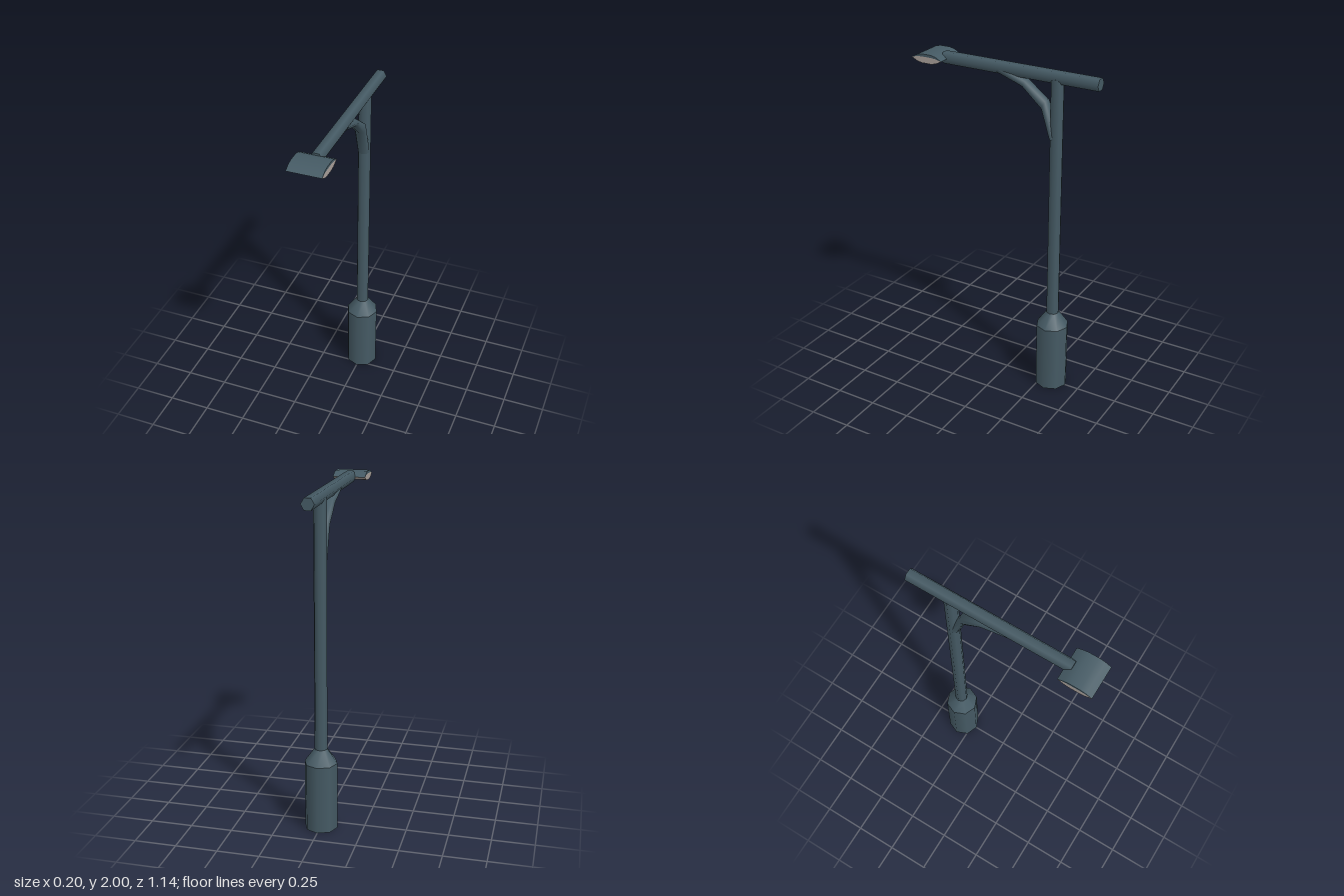
import * as THREE from 'three';
import { toCreasedNormals } from 'three/addons/utils/BufferGeometryUtils.js';

const POLE_Z = -0.315, ARM_Y = 1.967, R = 0.038;

export function createModel() {
  const model = new THREE.Group();
  const metal = new THREE.MeshStandardMaterial({ color: 0x455a64 });
  metal.name = 'blueGreyMetal';
  const glass = new THREE.MeshStandardMaterial({ color: 0xaaa19b });
  glass.name = 'warmGreyDiffuser';

  const add = (name, geometry, material, x = 0, y = 0, z = 0) => {
    const mesh = new THREE.Mesh(geometry, material);
    mesh.name = name;
    mesh.position.set(x, y, z);
    model.add(mesh);
    return mesh;
  };
  // Upright eight-sided section between two heights
  const upright = (name, rTop, rBottom, y0, y1, open = false) =>
    add(name, new THREE.CylinderGeometry(rTop, rBottom, y1 - y0, 8, 1, open), metal, 0, (y0 + y1) / 2, POLE_Z);

  upright('base', 0.098, 0.098, 0, 0.415);
  upright('baseShoulder', R, 0.098, 0.415, 0.5, true);
  upright('pole', R, R, 0.49, 1.96);

  // Six-sided horizontal arm with flat top and bottom
  const arm = new THREE.CylinderGeometry(R, R, 0.981, 6, 1, false, Math.PI / 2);
  arm.rotateX(Math.PI / 2);
  add('arm', arm, metal, 0, ARM_Y, -0.0805);

  // Curved brace lofted through rings: lower edge z, y, then upper edge z, y
  const rings = [
    [-0.275, 1.605, -0.33, 1.62],
    [-0.225, 1.77, -0.257, 1.83],
    [-0.105, 1.88, -0.128, 1.922],
    [0.06, 1.938, 0.03, 1.98],
  ];
  const sides = 8, positions = [], index = [];
  rings.forEach(([lz, ly, uz, uy], i) => {
    for (let j = 0; j < sides; j++) {
      const a = (j / sides) * Math.PI * 2, t = (1 + Math.sin(a)) / 2;
      positions.push(0.036 * Math.cos(a), ly + (uy - ly) * t, lz + (uz - lz) * t);
      if (i === rings.length - 1) continue;
      const k = (j + 1) % sides, p = i * sides, q = p + sides;
      index.push(p + j, q + k, p + k, p + j, q + j, q + k);
    }
  });
  // Wind the faces outward
  for (let i = 0; i < index.length; i += 3) [index[i + 1], index[i + 2]] = [index[i + 2], index[i + 1]];
  const brace = new THREE.BufferGeometry();
  brace.setAttribute('position', new THREE.Float32BufferAttribute(positions, 3));
  brace.setIndex(index);
  brace.computeVertexNormals();
  add('brace', brace, metal);

  // Lens-shaped lamp head: metal shell above, diffuser below
  const arc = (height) => [[-0.0995, 0], [-0.062, 0.75], [-0.03, 1], [0.03, 1], [0.062, 0.75], [0.0995, 0]]
    .map(([s, f]) => new THREE.Vector2(s, f * height));
  const lens = (low, high) => {
    const shape = new THREE.Shape([...arc(low), ...arc(high).slice(1, -1).reverse()]);
    const g = new THREE.ExtrudeGeometry(shape, { depth: 0.196, bevelEnabled: false });
    g.translate(0, 0, -0.098).rotateY(Math.PI / 2);
    return toCreasedNormals(g, 0.7);
  };
  add('lampShell', lens(0.012, 0.027), metal, 0, 1.968, 0.4715);
  add('lampDiffuser', lens(-0.025, 0.012), glass, 0, 1.968, 0.4715);

  return model;
}
